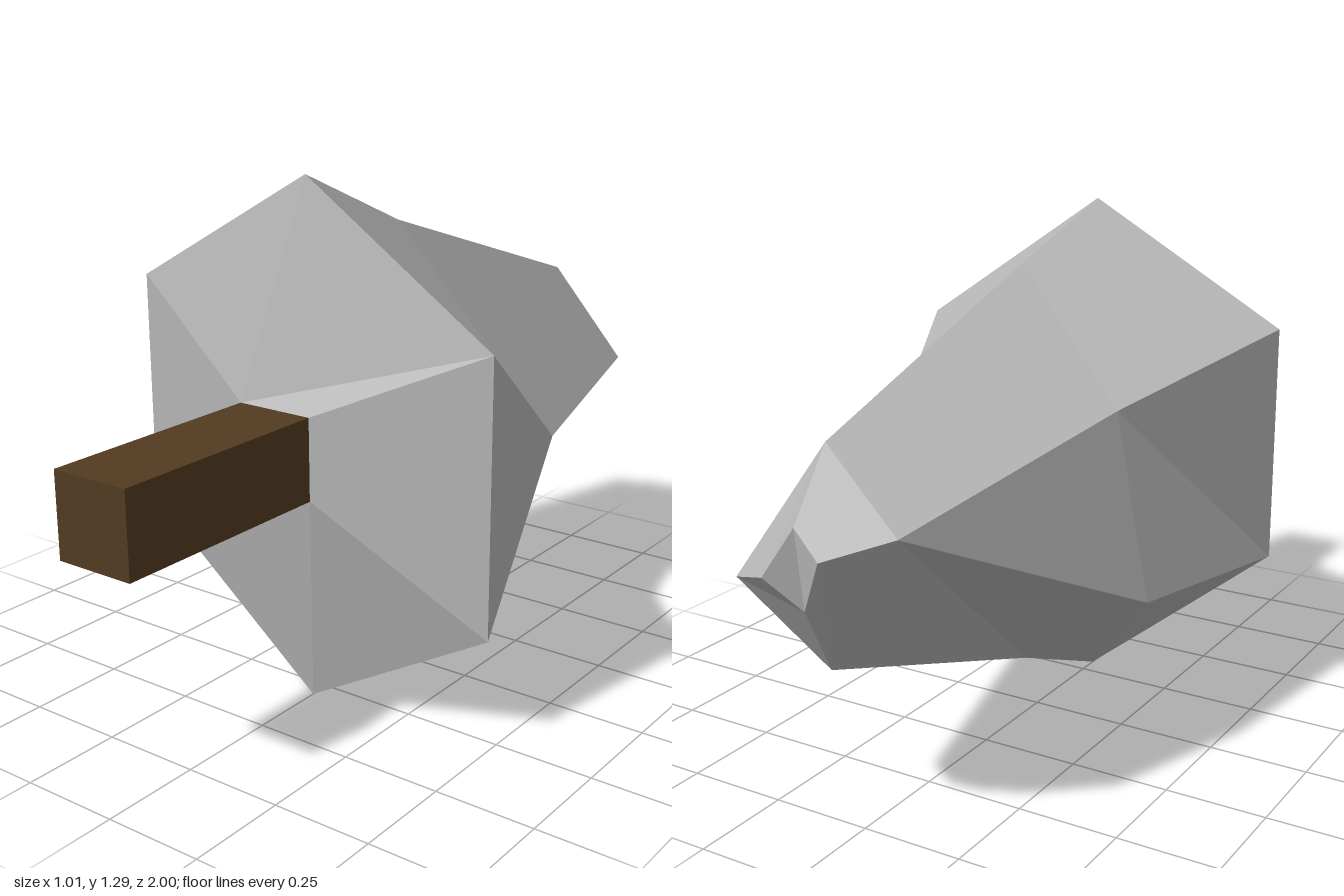
import * as THREE from 'three';

// Closed loops of the stone, each clockwise seen from the front, six corners
// per loop (repeated corners collapse a quad into a triangle).
const LOOPS = [
  // socket around the handle
  [[-0.1, 0.77, 0.43], [0.1, 0.77, 0.43], [0.1, 0.57, 0.43], [0.1, 0.57, 0.43], [-0.1, 0.57, 0.43], [-0.1, 0.77, 0.43]],
  // wide rim
  [[0, 1.29, 0.305], [0.505, 0.95, 0.305], [0.505, 0.285, 0.305], [0, 0, 0.305], [-0.51, 0.41, 0.305], [-0.51, 1.0, 0.305]],
  // middle
  [[0.06, 1.155, 0.03], [0.335, 0.59, -0.26], [0.335, 0.59, -0.26], [0.035, 0.12, 0], [-0.435, 0.453, -0.24], [-0.345, 0.89, -0.23]],
  // shoulder of the point
  [[0.035, 0.9, -0.79], [0.17, 0.625, -0.93], [0.17, 0.625, -0.93], [0.035, 0.395, -0.8], [-0.23, 0.77, -0.91], [-0.23, 0.77, -0.91]],
  // blunt tip
  [[-0.01, 0.77, -0.955], [0.04, 0.67, -1], [0.04, 0.67, -1], [-0.02, 0.59, -0.945], [-0.1, 0.725, -0.995], [-0.1, 0.725, -0.995]],
];

const same = (a, b) => a.every((v, i) => v === b[i]);

function loft(loops) {
  const pos = [];
  const tri = (a, b, c) => {
    if (!same(a, b) && !same(b, c) && !same(a, c)) pos.push(...a, ...b, ...c);
  };
  for (let r = 0; r < loops.length - 1; r++) {
    for (let i = 0; i < 6; i++) {
      const j = (i + 1) % 6;
      const [a, b, c, d] = [loops[r][i], loops[r][j], loops[r + 1][j], loops[r + 1][i]];
      tri(a, b, c);
      tri(a, c, d);
    }
  }
  // end caps
  const first = loops[0], last = loops[loops.length - 1];
  for (let i = 1; i < 5; i++) {
    tri(first[0], first[i + 1], first[i]);
    tri(last[0], last[i], last[i + 1]);
  }
  const geo = new THREE.BufferGeometry();
  geo.setAttribute('position', new THREE.Float32BufferAttribute(pos, 3));
  geo.computeVertexNormals();
  return geo;
}

export function createModel() {
  const stone = new THREE.MeshStandardMaterial({ color: 0xb4b4b4, flatShading: true });
  stone.name = 'stone grey';
  const wood = new THREE.MeshStandardMaterial({ color: 0x523b21, flatShading: true });
  wood.name = 'dark wood';

  const group = new THREE.Group();
  group.name = 'stoneSpike';

  // Faceted stone head
  const head = new THREE.Mesh(loft(LOOPS), stone);
  head.name = 'stoneHead';
  group.add(head);

  // Square wooden handle
  const handle = new THREE.Mesh(new THREE.BoxGeometry(0.2, 0.2, 0.57), wood);
  handle.name = 'handle';
  handle.position.set(0, 0.67, 0.715);
  group.add(handle);

  return group;
}
